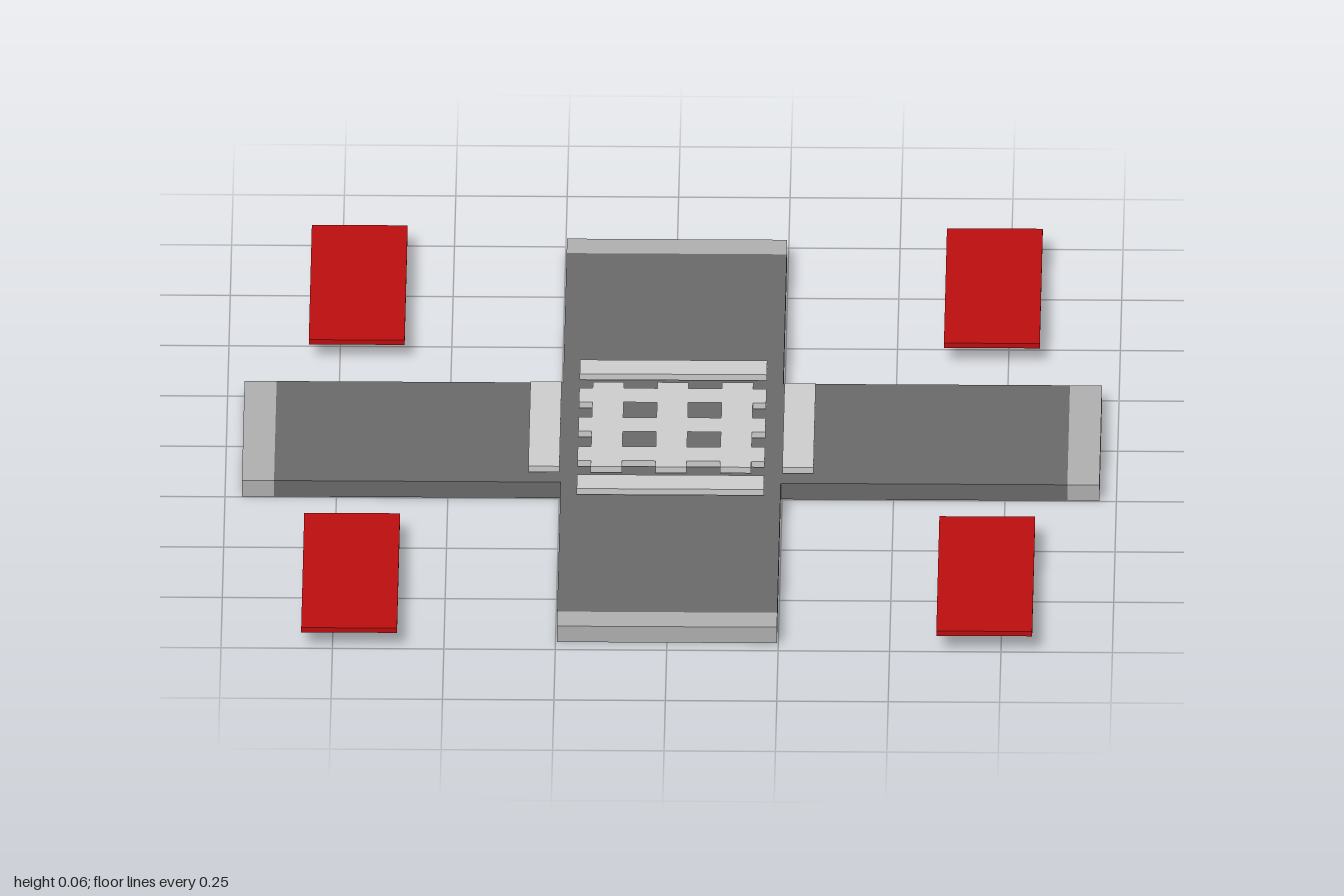
import * as THREE from 'three';

const paint = (color) => new THREE.MeshStandardMaterial({ color });

// Flat plate cut from an outline in the xz plane, between two heights
function plate(name, shape, y0, y1, material) {
  const geometry = new THREE.ExtrudeGeometry(shape, { depth: y1 - y0, bevelEnabled: false });
  geometry.rotateX(-Math.PI / 2).translate(0, y0, 0);
  const mesh = new THREE.Mesh(geometry, material);
  mesh.name = name;
  return mesh;
}

// Box given by its centre in plan, its plan size and its two heights
function slab(name, x, z, w, d, y0, y1, material) {
  const mesh = new THREE.Mesh(new THREE.BoxGeometry(w, y1 - y0, d), material);
  mesh.position.set(x, (y0 + y1) / 2, z);
  mesh.name = name;
  return mesh;
}

// Closed outline made of one side repeated in four quarter turns
function fourfold(side) {
  const points = [];
  for (let i = 0; i < 4; i++) {
    const c = Math.cos(i * Math.PI / 2), s = Math.sin(i * Math.PI / 2);
    for (const [x, y] of side) points.push(new THREE.Vector2(x * c + y * s, y * c - x * s));
  }
  return new THREE.Shape(points);
}

export function createModel() {
  const model = new THREE.Group();
  const dark = paint(0x696969), tipGrey = paint(0xaeaeae), light = paint(0xcccccc), red = paint(0xba0f0f);
  const half = 0.247, armEnd = 0.89, tipEnd = 0.962, top = 0.04;
  const raisedLow = 0.046, raisedHigh = 0.061;

  // Cross-shaped base
  const cross = fourfold([[-half, half], [-half, armEnd], [half, armEnd]]);
  model.add(plate('crossBase', cross, 0, top, dark));

  // Pale arm tips and raised strips around the centre
  for (let i = 0; i < 4; i++) {
    const arm = new THREE.Group();
    arm.name = 'armTrim' + (i + 1);
    arm.rotation.y = i * Math.PI / 2;
    arm.add(slab('armTip', 0, (armEnd + tipEnd) / 2, half * 2, tipEnd - armEnd, 0, top, tipGrey));
    arm.add(slab('borderStrip', 0, 0.285, 0.42, 0.07, raisedLow, raisedHigh, light));
    model.add(arm);
  }

  // Central lattice: three bars each way, with short bar ends around the rim
  const inner = 0.18, outer = 0.21, side = [];
  for (const [a, b] of [[-0.18, -0.11], [-0.035, 0.035], [0.11, 0.18]]) {
    side.push([a, inner], [a, outer], [b, outer], [b, inner]);
  }
  side.pop();
  const lattice = fourfold(side);
  for (const x of [-0.11, 0.035]) {
    for (const y of [-0.11, 0.035]) {
      const hole = new THREE.Path();
      hole.moveTo(x, y).lineTo(x, y + 0.075).lineTo(x + 0.075, y + 0.075).lineTo(x + 0.075, y).closePath();
      lattice.holes.push(hole);
    }
  }
  model.add(plate('centreLattice', lattice, raisedLow, raisedHigh, light));

  // Red panels between the arms
  for (const x of [-1, 1]) {
    for (const z of [-1, 1]) {
      const name = (z > 0 ? 'front' : 'back') + (x > 0 ? 'Left' : 'Right') + 'Panel';
      model.add(slab(name, x * 0.7125, z * 0.715, 0.215, 0.57, 0.04, 0.052, red));
    }
  }
  return model;
}
